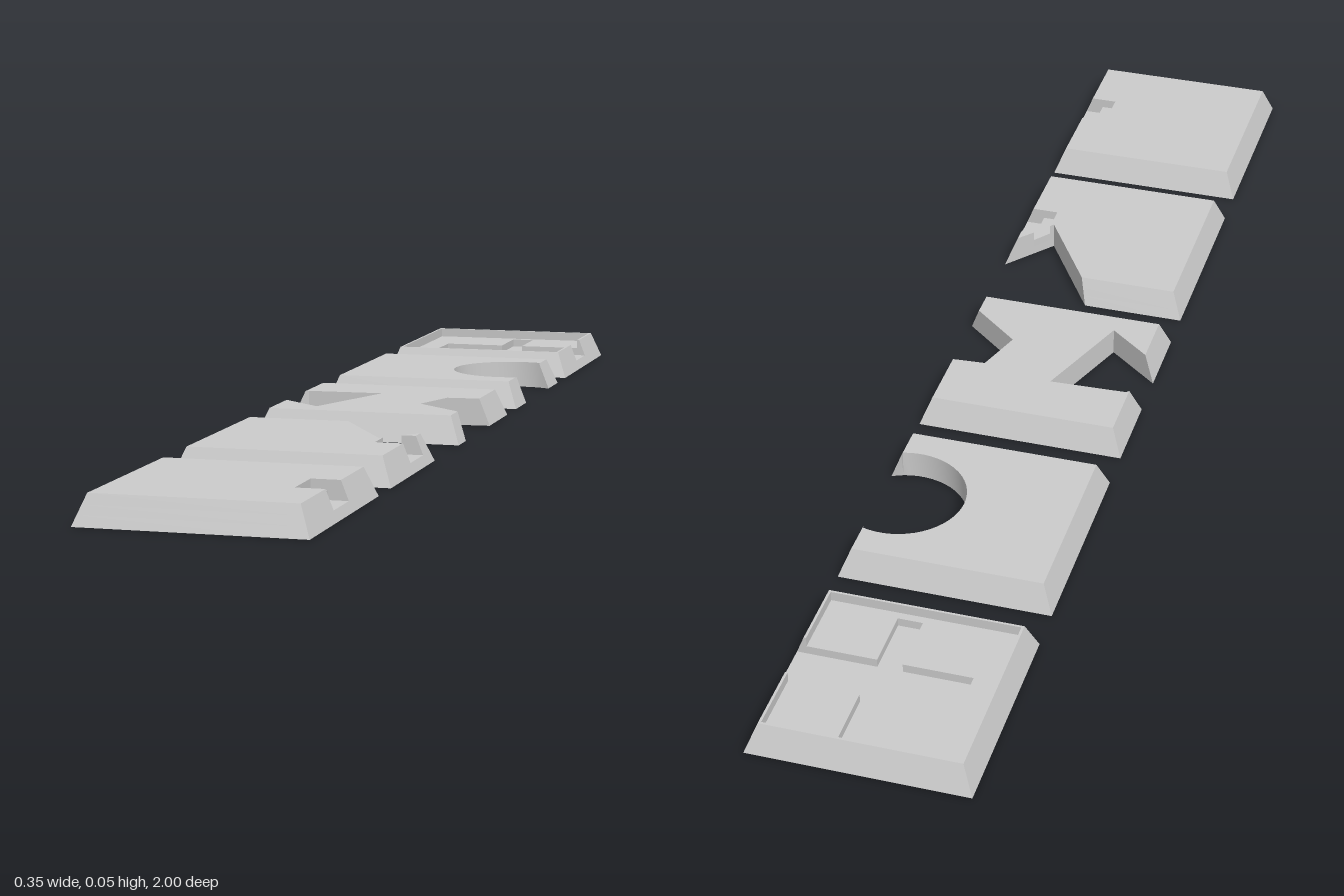
import * as THREE from 'three';
import { toCreasedNormals } from 'three/addons/utils/BufferGeometryUtils.js';

const H = 0.173;      // half width of a tile at the ground
const TOP = 0.046;    // tile height
const INSET = 0.018;  // how far the sloped sides lean in at the top
const STEP = 0.016, LEDGE = 0.030; // floor heights inside the notches
const material = new THREE.MeshStandardMaterial({ color: 0xcccccc });

const inside = ([x, z]) => Math.max(Math.abs(x), Math.abs(z)) < 0.1535;

// Outline at height y: rim points follow the slope, sliding along any cut that meets them
function outlineAt(pts, y) {
  const h = H - INSET * y / TOP;
  const slide = (from, to) => (Math.abs(to) > h ? (Math.sign(to) * h - from) / (to - from) : 1);
  return pts.map((p, i) => {
    if (inside(p)) return new THREE.Vector2(...p);
    const n = [pts.at(i - 1), pts[(i + 1) % pts.length]].find(inside);
    if (!n) return new THREE.Vector2(...p.map((v) => THREE.MathUtils.clamp(v, -h, h)));
    const t = Math.min(slide(n[0], p[0]), slide(n[1], p[1]));
    return new THREE.Vector2(n[0] + (p[0] - n[0]) * t, n[1] + (p[1] - n[1]) * t);
  });
}

// Slab between two heights, lofted from the outline
function layer(name, pts, y0 = 0, y1 = TOP) {
  const low = outlineAt(pts, y0), high = outlineAt(pts, y1), pos = [];
  const put = (p, y) => pos.push(p.x, y, p.y);
  low.forEach((a, i) => {
    const j = (i + 1) % low.length;
    put(a, y0); put(high[i], y1); put(high[j], y1);
    put(a, y0); put(high[j], y1); put(low[j], y0);
  });
  for (const [a, b, c] of THREE.ShapeUtils.triangulateShape(high, [])) {
    [c, b, a].forEach((k) => put(high[k], y1));
  }
  if (y0 === 0) {
    for (const t of THREE.ShapeUtils.triangulateShape(low, [])) t.forEach((k) => put(low[k], y0));
  }
  const geo = new THREE.BufferGeometry();
  geo.setAttribute('position', new THREE.Float32BufferAttribute(pos, 3));
  const mesh = new THREE.Mesh(toCreasedNormals(geo, 0.35), material);
  mesh.name = name;
  return mesh;
}

const back = [[-H, -H], [H, -H]];
const front = [[H, H], [-H, H]];
const square = [...back, ...front];

// Recessed tile with a sunken cross that opens through the side
function crossTile() {
  const w = 0.04, l = 0.138, r = 0.151;
  return [
    layer('crossFloor', square, 0, STEP),
    layer('crossGroove', [...back, [H, -w], [0.04, -w], [0.04, -l], [0, -l], [0, -w], [-0.11, -w],
      [-0.11, w], [0, w], [0, l], [0.04, l], [0.04, w], [H, w], ...front], STEP, LEDGE),
    layer('rim', [...back, [H, -w], [r, -w], [r, -r], [-r, -r], [-r, r], [r, r], [r, w], [H, w],
      ...front], LEDGE, TOP),
  ];
}

// Tile with a round bite out of one side
function roundTile() {
  const arc = [], n = 32, end = 1.86;
  for (let i = 0; i <= n; i++) {
    const a = -end + (2 * end * i) / n + Math.PI;
    arc.push([0.125 + 0.105 * Math.cos(a), -0.105 * Math.sin(a)]);
  }
  if (arc[0][1] > 0) arc.reverse();
  return [layer('roundCutSlab', [...back, [H, -0.093], ...arc, [H, 0.093], ...front])];
}

// Tile with an angular bite out of both sides
function doubleCutTile() {
  return [layer('doubleCutSlab', [...back, [H, -0.042], [0.10, -0.037], [0.074, 0.042], [H, 0.125],
    ...front, [-H, 0.045], [-0.085, 0.116], [-0.021, -0.058], [-0.15, -0.053], [-H, -0.032]])];
}

// Tile with a V cut across one corner and a stepped notch beside it
function wedgeTile() {
  const start = [[-H, -H], [0, -H], [0.105, -0.003]];
  const prong = [[0.132, -0.038], [H, -0.086], [H, -0.038]];
  const w = 0.038;
  return [
    layer('wedgeBase', [...start, [H, -0.086], ...front], 0, STEP),
    layer('wedgeLedge', [...start, [0.132, -w], [0.135, -w], [0.135, w], [H, w], ...front], STEP, LEDGE),
    layer('wedgeTop', [...start, [0.11, -0.01], [0.11, w], [H, w], ...front], LEDGE, TOP),
    layer('prong', prong, STEP, TOP),
  ];
}

// Plain tile with a stepped notch
function notchTile() {
  const w = 0.038;
  const notched = (x) => [...back, [H, -w], [x, -w], [x, w], [H, w], ...front];
  return [
    layer('notchBase', square, 0, STEP),
    layer('notchLedge', notched(0.135), STEP, LEDGE),
    layer('notchTop', notched(0.11), LEDGE, TOP),
  ];
}

export function createModel() {
  const model = new THREE.Group();
  model.name = 'tileRow';
  const tiles = { crossTile, roundTile, doubleCutTile, wedgeTile, notchTile };
  Object.entries(tiles).forEach(([name, build], i) => {
    const tile = new THREE.Group();
    tile.name = name;
    tile.add(...build());
    tile.position.z = (i - 2) * 0.4135;
    model.add(tile);
  });
  return model;
}
